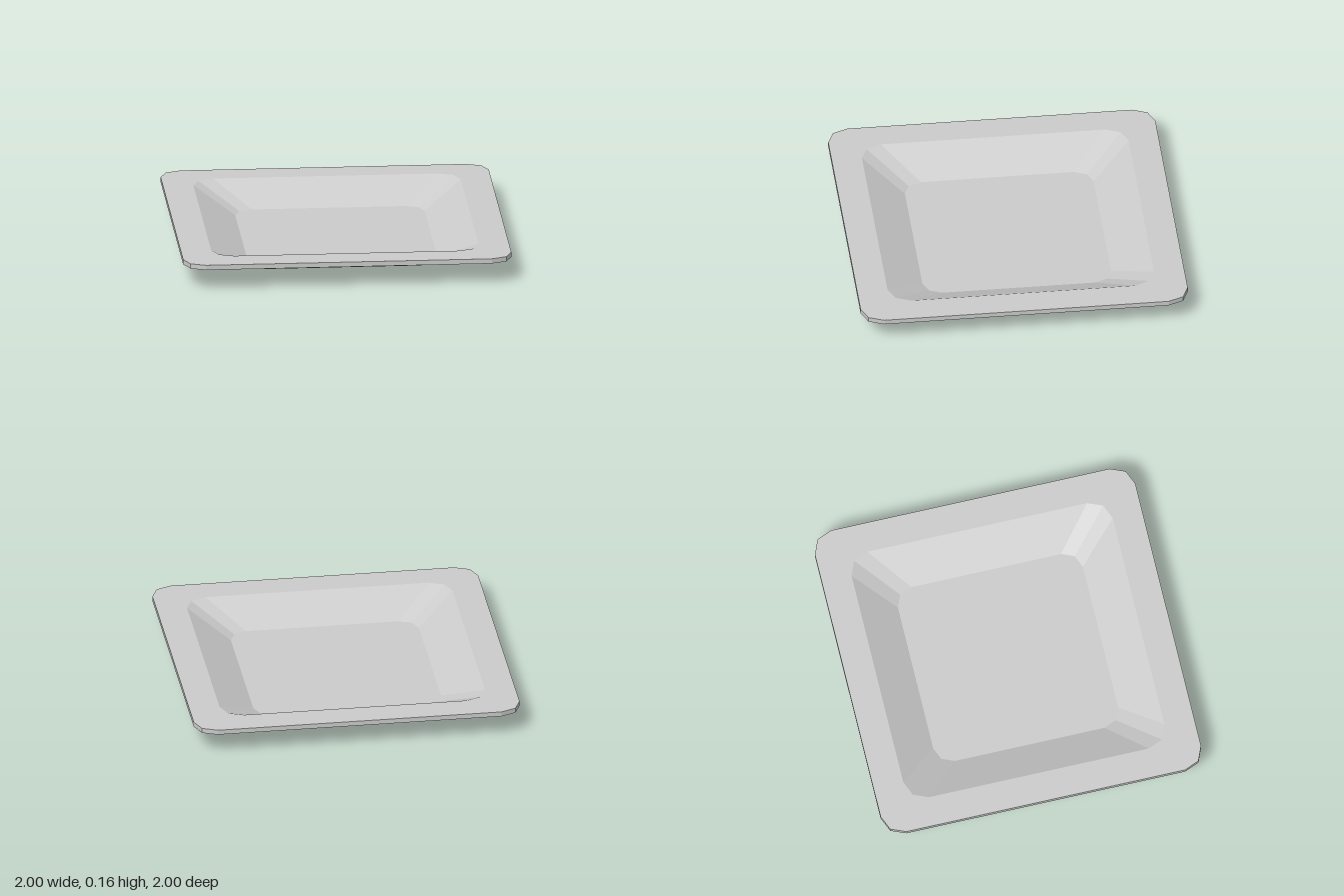
import * as THREE from 'three';

// Square cross-section with rounded corners (two facets each), 12 points
function ring(half, radius, y) {
  const pts = [];
  for (let q = 0; q < 4; q++) {
    const turn = q * Math.PI / 2, c = half - radius;
    for (let s = 0; s < 3; s++) {
      const a = s * Math.PI / 4;
      const x = c + radius * Math.cos(a), z = c + radius * Math.sin(a);
      pts.push(new THREE.Vector3(
        x * Math.cos(turn) - z * Math.sin(turn), y,
        x * Math.sin(turn) + z * Math.cos(turn)));
    }
  }
  return pts;
}

// Skin consecutive rings; triangles collapsed at a centre point are dropped
function loft(name, rings, material) {
  const pos = [];
  const tri = (a, b, c) => {
    if (new THREE.Triangle(a, b, c).getArea() > 1e-8)
      for (const p of [a, b, c]) pos.push(p.x, p.y, p.z);
  };
  for (let k = 0; k + 1 < rings.length; k++) {
    const r = rings[k], s = rings[k + 1];
    for (let i = 0; i < r.length; i++) {
      const j = (i + 1) % r.length;
      tri(r[i], r[j], s[i]);
      tri(r[j], s[j], s[i]);
    }
  }
  const geometry = new THREE.BufferGeometry();
  geometry.setAttribute('position', new THREE.Float32BufferAttribute(pos, 3));
  geometry.computeVertexNormals();
  const mesh = new THREE.Mesh(geometry, material);
  mesh.name = name;
  return mesh;
}

export function createModel() {
  const group = new THREE.Group();
  group.name = 'squarePlate';
  const material = new THREE.MeshStandardMaterial({ color: 0xcccccc, flatShading: true });
  const top = 0.16, thick = 0.03;
  const mouth = y => ring(0.815, 0.13, y);
  const floor = y => ring(0.577, 0.11, y);

  // Flat rim: top face, outer edge, underside
  group.add(loft('rim', [
    mouth(top), ring(1, 0.13, top), ring(1, 0.13, top - thick), mouth(top - thick),
  ], material));

  // Sunken well: floor and sloped walls, inside and outside
  group.add(loft('wellInside', [ring(0, 0, thick), floor(thick), mouth(top)], material));
  group.add(loft('wellOutside', [mouth(top - thick), floor(0), ring(0, 0, 0)], material));
  return group;
}
